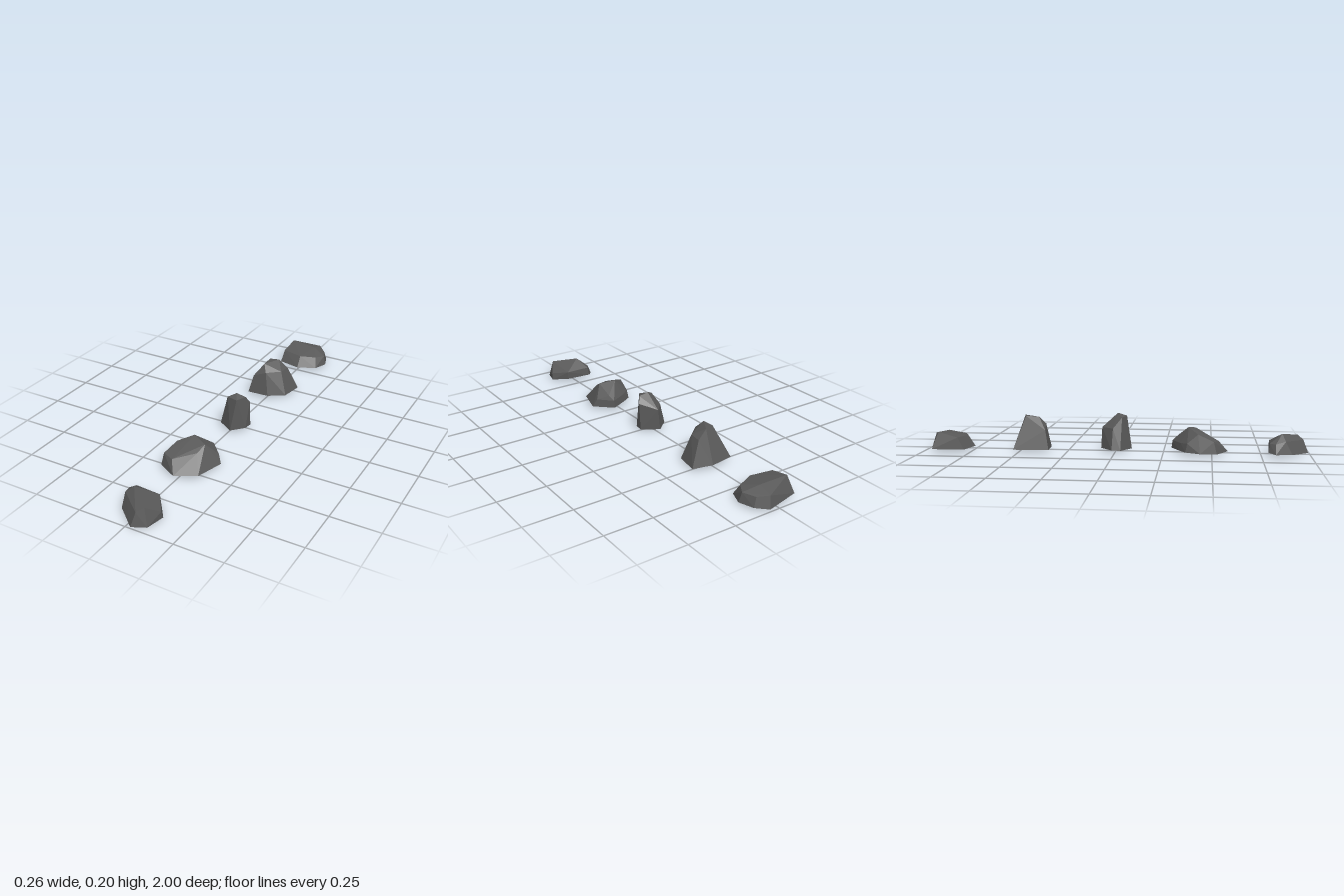
import * as THREE from 'three';
import { ConvexGeometry } from 'three/addons/geometries/ConvexGeometry.js';

// Each rock is a faceted convex hull: a ground outline plus shoulder and crown corners [x, y, z]
const ROCKS = {
  frontRock: {
    base: [[-0.12, 0.014, 0.82], [-0.085, 0.01, 0.905], [0.025, 0.003, 0.995], [0.09, 0, 0.96],
      [0.115, 0.006, 0.87], [0.05, 0.02, 0.795], [-0.09, 0.02, 0.785]],
    upper: [[-0.1, 0.065, 0.82], [-0.085, 0.077, 0.87], [0.04, 0.07, 0.97], [0.07, 0.09, 0.945],
      [0.112, 0.042, 0.88], [0.05, 0.062, 0.795], [-0.08, 0.065, 0.79], [-0.045, 0.112, 0.855]],
  },
  broadRock: {
    base: [[0.04, 0.015, 0.29], [0.127, 0.012, 0.38], [0.085, 0.012, 0.525], [-0.02, 0.012, 0.582],
      [-0.125, 0.012, 0.525], [-0.125, 0.012, 0.44], [-0.1, 0.015, 0.365], [-0.05, 0.015, 0.335]],
    upper: [[-0.115, 0.074, 0.51], [-0.055, 0.07, 0.535], [0.045, 0.095, 0.465], [0.06, 0.122, 0.415],
      [-0.02, 0.135, 0.38], [-0.09, 0.107, 0.43], [0.055, 0.08, 0.323], [0.107, 0.055, 0.365],
      [0.04, 0.055, 0.295], [-0.045, 0.055, 0.34], [-0.095, 0.06, 0.375]],
  },
  tallRock: {
    base: [[-0.08, 0.015, -0.015], [-0.01, 0.015, -0.077], [0.075, 0.015, -0.02], [0.07, 0.015, 0.025],
      [0.01, 0.012, 0.083], [-0.075, 0.012, 0.03]],
    upper: [[0.01, 0.2, 0.01], [-0.03, 0.18, 0.035], [0.033, 0.183, 0.055], [0.062, 0.19, 0.01],
      [0.077, 0.157, -0.01], [0, 0.125, -0.072], [-0.055, 0.125, -0.01]],
  },
  steepRock: {
    base: [[-0.115, 0.015, -0.525], [0.01, 0.015, -0.545], [0.115, 0.015, -0.52], [0.095, 0.015, -0.4],
      [0.01, 0.015, -0.345], [-0.108, 0.015, -0.34]],
    upper: [[-0.04, 0.183, -0.47], [0.01, 0.183, -0.483], [-0.04, 0.18, -0.4], [-0.015, 0.142, -0.368],
      [0.053, 0.142, -0.425], [0.06, 0.14, -0.492], [-0.085, 0.115, -0.36]],
  },
  backRock: {
    base: [[-0.13, 0.012, -0.955], [0.055, 0.012, -1], [0.105, 0.012, -0.95], [0.13, 0.012, -0.875],
      [0.1, 0.012, -0.8], [0, 0.012, -0.757], [-0.122, 0.012, -0.785]],
    upper: [[-0.105, 0.1, -0.925], [0.045, 0.072, -0.985], [-0.115, 0.074, -0.82], [0, 0.07, -0.795],
      [0.085, 0.066, -0.83], [0.117, 0.062, -0.88], [0.09, 0.06, -0.945], [0.04, 0.09, -0.91]],
  },
};

export function createModel() {
  const group = new THREE.Group();
  const stone = new THREE.MeshStandardMaterial({ color: 0x595959 });
  stone.name = 'darkStone';

  for (const [name, { base, upper }] of Object.entries(ROCKS)) {
    const corners = [...base, ...upper].map((p) => new THREE.Vector3(...p));
    const rock = new THREE.Mesh(new ConvexGeometry(corners), stone);
    rock.name = name;
    group.add(rock);
  }
  return group;
}
